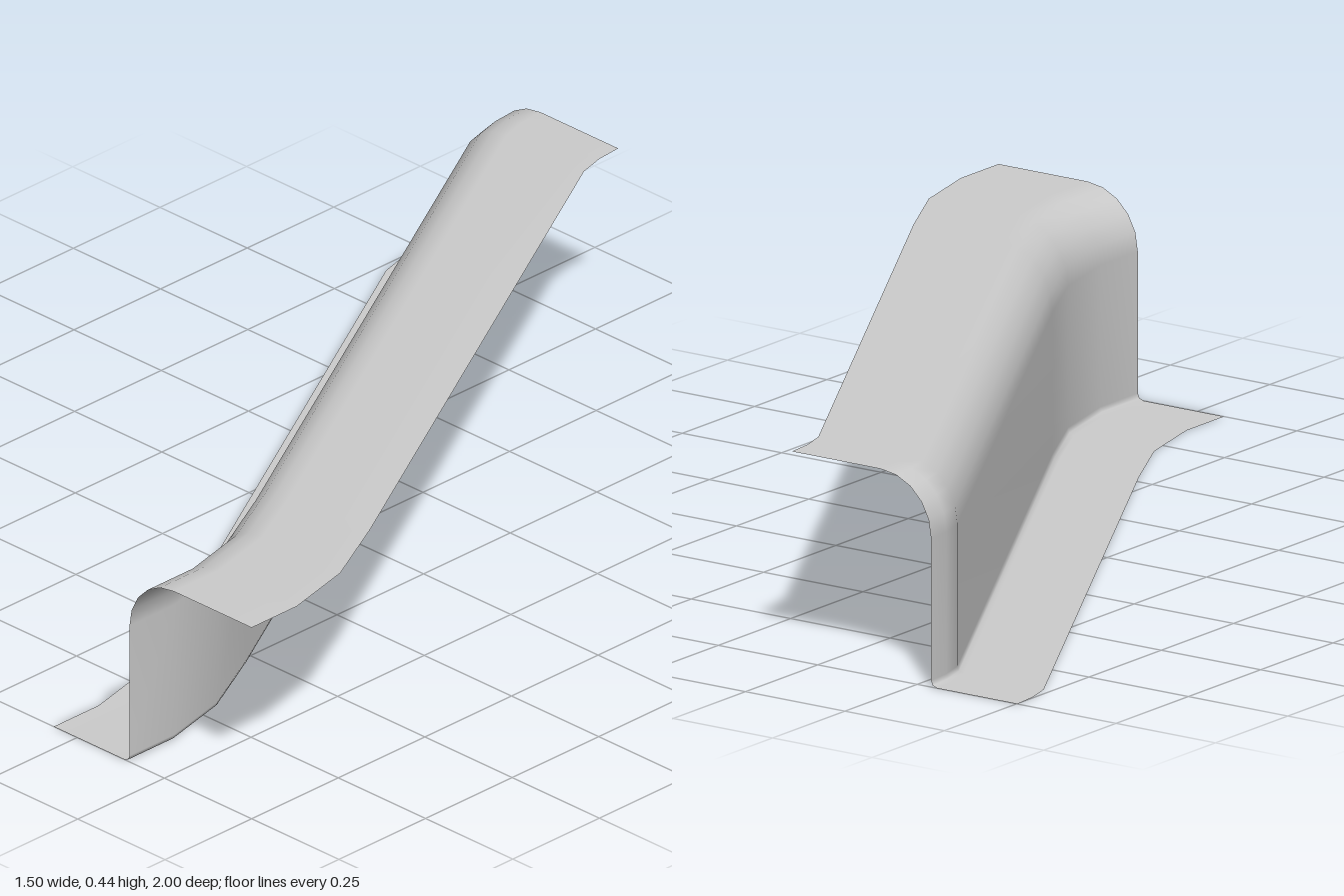
import * as THREE from 'three';

// Cross-section as [x offset from the wall, height]: lower flange, small fillet, wall, large fillet, upper flange
function crossSection() {
  const points = [[-0.217, 0.003], [-0.015, 0.003], [-0.004, 0.007], [0, 0.017]];
  const radius = 0.127, top = 0.443;
  for (let i = 0; i <= 5; i++) {
    const a = (i / 5) * Math.PI / 2;
    points.push([radius * (1 - Math.cos(a)), top - radius * (1 - Math.sin(a))]);
  }
  points.push([0.35, top]);
  return points;
}

// Plan line of the wall as [x, z], straight at both ends and slanted between
const path = [
  [-0.535, -1], [-0.53, -0.94], [-0.514, -0.88],
  [0.272, 0.53], [0.361, 0.705], [0.4, 0.87], [0.4, 1],
];

export function createModel() {
  const model = new THREE.Group();
  const sheetGrey = new THREE.MeshStandardMaterial({ color: 0xcccccc, side: THREE.DoubleSide });
  sheetGrey.name = 'sheetGrey';

  // Sweep the section along the plan line, shifting it sideways
  const section = crossSection();
  const n = section.length;
  const positions = [], index = [];
  path.forEach(([px, z], j) => {
    section.forEach(([dx, y], i) => {
      positions.push(px + dx, y, z);
      if (j < path.length - 1 && i < n - 1) {
        const a = j * n + i, b = a + 1, c = a + n, d = c + 1;
        index.push(a, c, b, b, c, d);
      }
    });
  });
  const geometry = new THREE.BufferGeometry();
  geometry.setAttribute('position', new THREE.Float32BufferAttribute(positions, 3));
  geometry.setIndex(index);
  geometry.computeVertexNormals();

  const sheet = new THREE.Mesh(geometry, sheetGrey);
  sheet.name = 'steppedSheet';
  model.add(sheet);
  return model;
}
